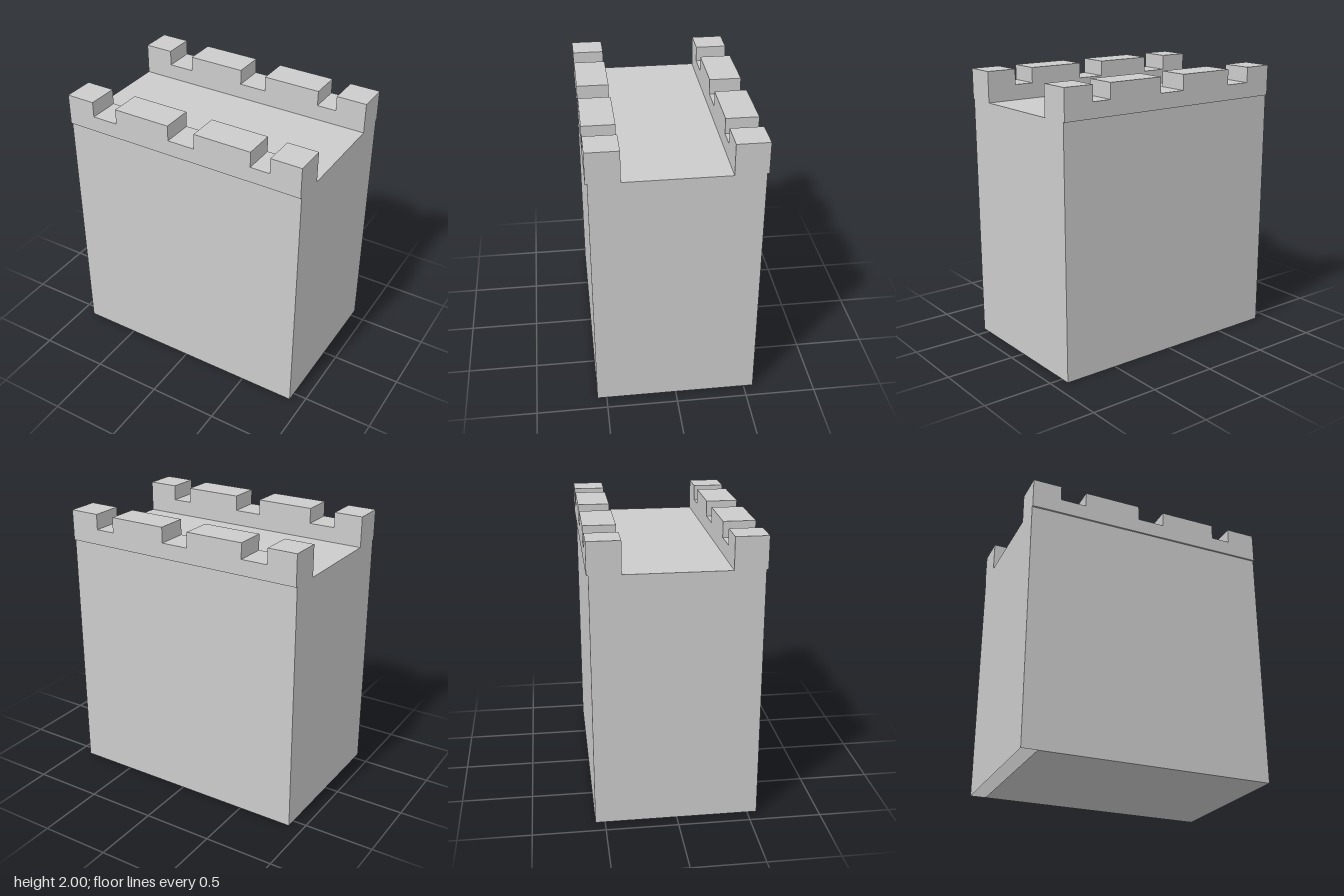
import * as THREE from 'three';

const W = 0.9;        // half width
const ROOF = 1.78;    // roof height
const DEPTH = 0.567;  // half depth of the tower body

export function createModel() {
  const model = new THREE.Group();
  const material = new THREE.MeshStandardMaterial({ color: 0xcccccc, flatShading: true, side: THREE.DoubleSide });

  const add = (name, geometry, x, y, z) => {
    const mesh = new THREE.Mesh(geometry, material);
    mesh.name = name;
    mesh.position.set(x, y, z);
    model.add(mesh);
    return mesh;
  };

  // Hollow body: a box without its bottom face
  const body = new THREE.BoxGeometry(2 * W, ROOF, 2 * DEPTH);
  const faces = Array.from(body.index.array);
  faces.splice(18, 6);
  body.setIndex(faces);
  body.clearGroups();
  add('towerBody', body, 0, ROOF / 2, 0);

  // Floor, stopping short of the right wall to leave a narrow slot
  const slot = 0.11;
  const floor = new THREE.PlaneGeometry(2 * W - slot, 2 * DEPTH);
  floor.rotateX(Math.PI / 2);
  add('floor', floor, slot / 2, 0, 0);

  // Battlement outline with three notches, overhanging the walls slightly
  const gaps = [[-0.69, -0.5], [-0.08, 0.12], [0.54, 0.68]];
  const top = 2 - ROOF, notch = 1.89 - ROOF;
  const outline = new THREE.Shape();
  outline.moveTo(W, top);
  for (const [a, b] of [...gaps].reverse()) {
    outline.lineTo(b, top);
    outline.lineTo(b, notch);
    outline.lineTo(a, notch);
    outline.lineTo(a, top);
  }
  outline.lineTo(-W, top);
  outline.lineTo(-W, 0);
  outline.lineTo(W, 0);
  outline.closePath();

  const inner = 0.357, outer = 0.58;
  const parapet = new THREE.ExtrudeGeometry(outline, { depth: outer - inner, bevelEnabled: false });
  add('frontBattlement', parapet, 0, ROOF, inner);
  add('backBattlement', parapet, 0, ROOF, -outer);

  return model;
}
